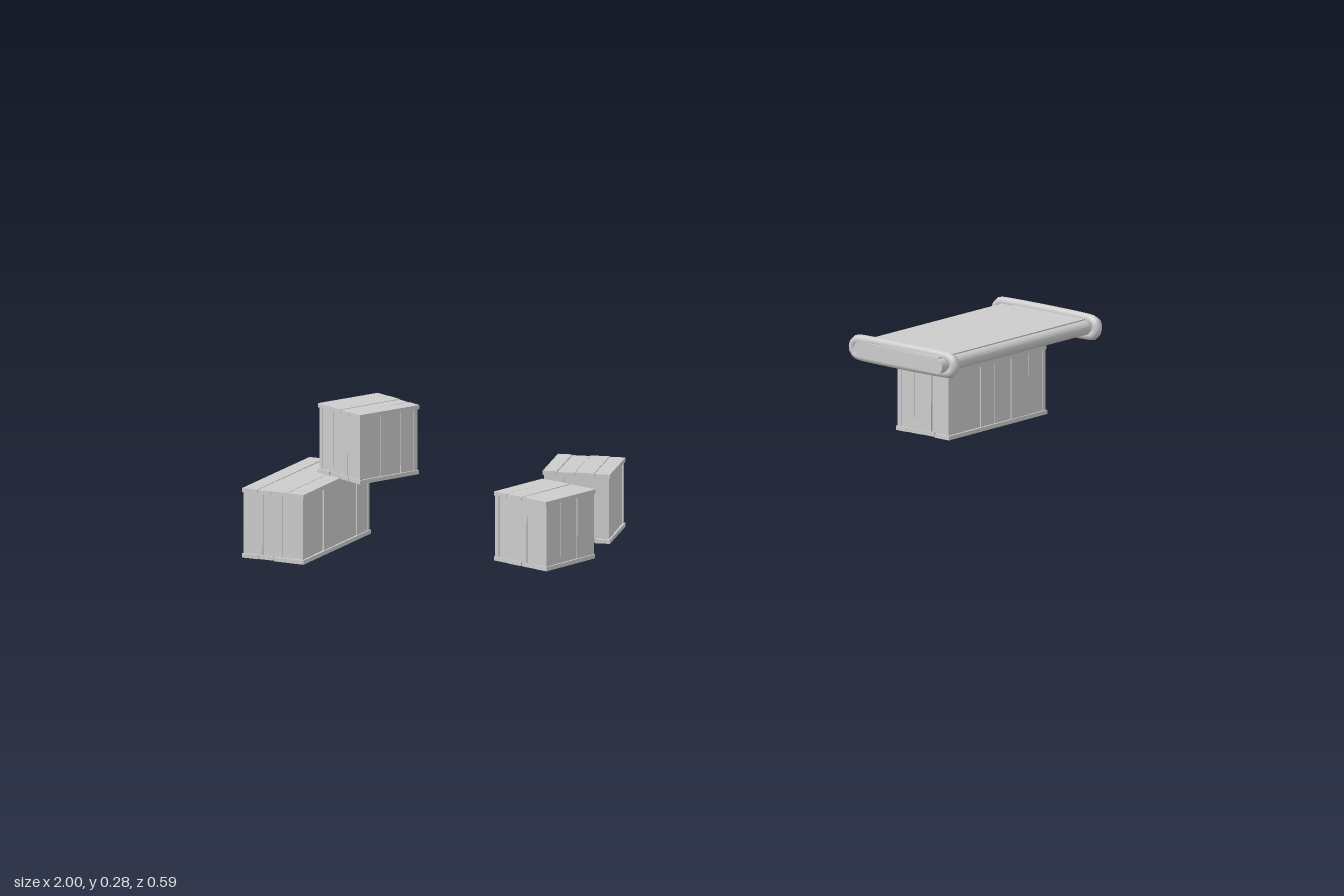
import * as THREE from 'three';

// Small seeded generator for the uneven timber
function seeded(seed) {
  let s = seed;
  return () => {
    s = (s * 16807) % 2147483647;
    return s / 2147483647;
  };
}

// Closed stadium outline in the (z, y) plane
function stadiumPoints(halfLength, radius, steps = 10) {
  const points = [];
  for (const [side, start] of [[1, -Math.PI / 2], [-1, Math.PI / 2]]) {
    for (let i = 0; i <= steps; i++) {
      const a = start + (Math.PI * i) / steps;
      points.push([side * (halfLength - radius) + Math.cos(a) * radius, Math.sin(a) * radius]);
    }
  }
  return points;
}

export function createModel() {
  const model = new THREE.Group();
  model.name = 'cratesAndBedroll';
  const grey = new THREE.MeshStandardMaterial({ color: 0xcccccc });
  grey.name = 'pale grey';

  function box(parent, name, size, position) {
    const mesh = new THREE.Mesh(new THREE.BoxGeometry(...size), grey);
    mesh.name = name;
    mesh.position.set(...position);
    parent.add(mesh);
    return mesh;
  }

  // Plank widths that add up to a length, each a little different
  function plankSpans(length, count, random) {
    const weights = Array.from({ length: count }, () => 0.8 + random() * 0.4);
    const total = weights.reduce((a, b) => a + b, 0);
    let at = -length / 2;
    return weights.map((w) => {
      const width = (w / total) * length;
      const span = { center: at + width / 2, width: width - 0.0012 };
      at += width;
      return span;
    });
  }

  // Timber crate: core, upright planks, corner posts, lid and base boards
  function crate(name, x, y, z, width, depth, turn, seed) {
    const random = seeded(seed);
    const group = new THREE.Group();
    group.name = name;
    group.position.set(x, y, z);
    group.rotation.y = turn;
    const height = 0.136;
    const board = 0.008;
    const w = width - 0.006;
    const d = depth - 0.006;
    const middle = height / 2;
    box(group, 'core', [w - 0.008, height - 0.008, d - 0.008], [0, middle, 0]);

    for (const side of [-1, 1]) {
      for (const p of plankSpans(w - 0.01, Math.round(w / 0.045), random)) {
        const t = 0.005 + random() * 0.002;
        box(group, 'sidePlank', [p.width, height - 2 * board, t],
          [p.center, middle, side * (d / 2 - 0.007 + t / 2)]).rotation.z = (random() - 0.5) * 0.015;
      }
      for (const p of plankSpans(d - 0.01, 3, random)) {
        const t = 0.005 + random() * 0.002;
        box(group, 'endPlank', [t, height - 2 * board, p.width],
          [side * (w / 2 - 0.007 + t / 2), middle, p.center]).rotation.x = (random() - 0.5) * 0.015;
      }
      for (const end of [-1, 1]) {
        box(group, 'cornerPost', [0.009, height - 2 * board, 0.009],
          [side * (w / 2 - 0.0045), middle, end * (d / 2 - 0.0045)]);
      }
    }
    for (const level of [board / 2, height - board / 2]) {
      for (const p of plankSpans(depth, 4, random)) {
        box(group, level < middle ? 'baseBoard' : 'lidBoard',
          [width - random() * 0.004, board, p.width],
          [(random() - 0.5) * 0.003, level + (random() - 0.5) * 0.0015, p.center])
          .rotation.z = (random() - 0.5) * 0.008;
      }
    }
    model.add(group);
  }

  crate('frontCrate', -0.635, 0.001, 0.227, 0.145, 0.136, 0, 11);
  crate('turnedCrate', -0.42, 0.001, 0.14, 0.148, 0.133, 0.51, 23);
  crate('longCrate', -0.843, 0.001, -0.195, 0.289, 0.133, 0.25, 37);
  crate('stackedCrate', -0.76, 0.141, -0.11, 0.145, 0.133, -0.2, 41);
  crate('tableCrate', 0.765, 0.001, 0.092, 0.289, 0.135, 0, 59);

  // Flat folded bedroll, its ends slightly wider at the front
  const roll = new THREE.Group();
  roll.name = 'bedroll';
  roll.position.set(0.767, 0.168, 0.1);
  const outline = stadiumPoints(0.118, 0.0145).map(([z, y]) => new THREE.Vector2(z, y));
  const padGeometry = new THREE.ExtrudeGeometry(new THREE.Shape(outline), {
    depth: 1, bevelEnabled: false,
  });
  padGeometry.translate(0, 0, -0.5);
  padGeometry.rotateY(-Math.PI / 2);
  const pos = padGeometry.attributes.position;
  for (let i = 0; i < pos.count; i++) {
    const spread = 0.436 + 0.03 * (pos.getZ(i) / 0.236 + 0.5);
    pos.setX(i, pos.getX(i) * spread);
  }
  padGeometry.computeVertexNormals();
  const pad = new THREE.Mesh(padGeometry, grey);
  pad.name = 'pad';
  roll.add(pad);

  // Top flap with a slanting edge
  const flapShape = new THREE.Shape([
    new THREE.Vector2(-0.219, 0.05), new THREE.Vector2(0.222, 0.073),
    new THREE.Vector2(0.229, -0.105), new THREE.Vector2(-0.229, -0.105),
  ].reverse());
  const flapGeometry = new THREE.ExtrudeGeometry(flapShape, { depth: 0.003, bevelEnabled: false });
  flapGeometry.rotateX(-Math.PI / 2);
  const flap = new THREE.Mesh(flapGeometry, grey);
  flap.name = 'flap';
  flap.position.y = 0.0138;
  roll.add(flap);

  // Rounded straps around both ends
  for (const x of [-0.208, 0.208]) {
    const path = new THREE.CatmullRomCurve3(
      stadiumPoints(0.127, 0.0155, 8).map(([z, y]) => new THREE.Vector3(0, y, z)), true);
    const strap = new THREE.Mesh(new THREE.TubeGeometry(path, 72, 0.01, 8, true), grey);
    strap.name = 'strap';
    strap.position.x = x;
    roll.add(strap);
  }
  model.add(roll);
  return model;
}
